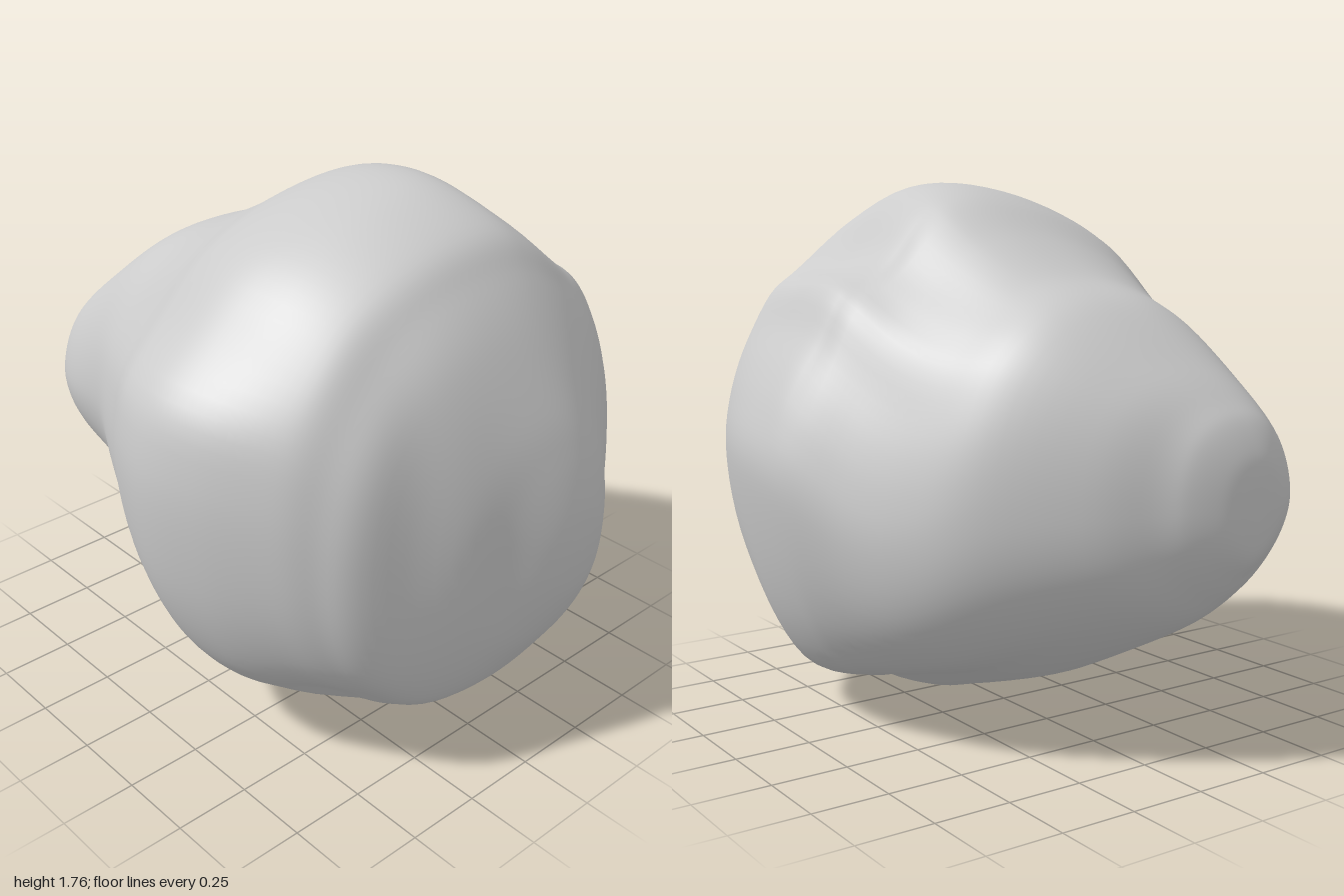
import * as THREE from 'three';

// Outline of the boulder's thickest part seen from the front, clockwise from the top
const OUTLINE = [
  [0.05, 1.76], [0.2, 1.74], [0.3, 1.67], [0.4, 1.56], [0.5, 1.49], [0.6, 1.43], [0.67, 1.3],
  [0.75, 1.18], [0.81, 1.06], [0.85, 0.92], [0.84, 0.76], [0.79, 0.52], [0.72, 0.32],
  [0.62, 0.17], [0.5, 0.115], [0.38, 0.1], [0.25, 0.04], [0.1, 0], [-0.08, 0.03], [-0.3, 0.09],
  [-0.5, 0.18], [-0.65, 0.3], [-0.75, 0.45], [-0.82, 0.65], [-0.855, 0.9], [-0.85, 1.1],
  [-0.8, 1.27], [-0.65, 1.42], [-0.5, 1.57], [-0.35, 1.66], [-0.15, 1.73],
];

// Stations from back to front: z, left x, right x, bottom y, top y
const STATIONS = [
  [-1, -0.2, -0.2, 0.82, 0.82],
  [-0.997, -0.26, -0.14, 0.73, 0.91],
  [-0.985, -0.32, -0.07, 0.66, 0.98],
  [-0.95, -0.38, 0.02, 0.6, 1.06],
  [-0.9, -0.42, 0.1, 0.53, 1.12],
  [-0.8, -0.46, 0.27, 0.43, 1.22],
  [-0.6, -0.51, 0.5, 0.31, 1.39],
  [-0.4, -0.59, 0.64, 0.21, 1.48],
  [-0.2, -0.69, 0.75, 0.14, 1.59],
  [0, -0.8, 0.84, 0.08, 1.71],
  [0.2, -0.855, 0.845, 0.02, 1.76],
  [0.4, -0.82, 0.8, 0.01, 1.75],
  [0.6, -0.72, 0.74, 0.1, 1.67],
  [0.7, -0.64, 0.66, 0.14, 1.56],
  [0.8, -0.53, 0.54, 0.21, 1.41],
  [0.9, -0.25, 0.4, 0.36, 1.2],
  [0.95, -0.08, 0.34, 0.46, 1.05],
  [0.985, 0.05, 0.28, 0.57, 0.9],
  [0.997, 0.12, 0.23, 0.66, 0.8],
  [1, 0.18, 0.18, 0.73, 0.73],
];

// Soft dents (negative) and swells (positive): centre, spread, depth
const DENTS = [
  [-0.38, 1.05, 0.75, 0.12, 0.4, 0.3, -0.02],
  [-0.1, 0.6, 0.92, 0.11, 0.3, 0.2, -0.02],
  [0.18, 0.9, 0.92, 0.2, 0.3, 0.2, 0.015],
  [-0.5, 0.25, 0.6, 0.14, 0.12, 0.25, -0.03],
  [0.45, 1.4, 0.35, 0.1, 0.2, 0.3, -0.025],
  [-0.55, 0.75, -0.6, 0.14, 0.25, 0.18, -0.02],
];

const AROUND = 120;
const ALONG = 120;
const CENTRE = new THREE.Vector3(0, 0.87, 0);
const { smoothstep, lerp } = THREE.MathUtils;

function applyDents(p) {
  const out = p.clone().sub(CENTRE).normalize();
  let push = 0;
  for (const [x, y, z, sx, sy, sz, depth] of DENTS) {
    const d = ((p.x - x) / sx) ** 2 + ((p.y - y) / sy) ** 2 + ((p.z - z) / sz) ** 2;
    push += depth * Math.exp(-d);
  }
  return p.addScaledVector(out, push);
}

// Section point at depth z: the craggy outline, easing into plain rounded ends
function sectionPoint(o, z) {
  const a = Math.atan2(o.y, o.x);
  const c = Math.cos(a), s = Math.sin(a);
  // The back end is fuller at its upper left and chamfered below
  const n = z > 0 ? 2.2 : 2 + 0.3 * s + 0.2 * c;
  const r = (Math.abs(c) ** n + Math.abs(s) ** n) ** (-1 / n);
  const blend = z > 0 ? smoothstep(z, 0.3, 0.85) : smoothstep(-z, -0.15, 0.75);
  const x = lerp(o.x, c * r, blend);
  const y = lerp(o.y, s * r, blend);
  // The flank bulges low behind the middle
  const sag = 0.25 * Math.exp(-(((z + 0.35) / 0.3) ** 2));
  return [x, y - sag * Math.max(0, x) * Math.max(0, 1 - y * y)];
}

function boulderGeometry() {
  const outline = new THREE.CatmullRomCurve3(
    OUTLINE.map(([x, y]) => new THREE.Vector3(x / 0.855, y / 0.88 - 1, 0)), true, 'catmullrom');
  const widths = new THREE.CatmullRomCurve3(
    STATIONS.map(([z, l, r]) => new THREE.Vector3(l, r, z)), false, 'catmullrom');
  const heights = new THREE.CatmullRomCurve3(
    STATIONS.map(([z, , , b, t]) => new THREE.Vector3(b, t, z)), false, 'catmullrom');

  const pos = [];
  const index = [];
  const addPoint = (x, y, z) => pos.push(...applyDents(new THREE.Vector3(x, y, z)).toArray());

  // Rings fitted to each station
  for (let i = 1; i < ALONG; i++) {
    const w = widths.getPoint(i / ALONG);
    const h = heights.getPoint(i / ALONG);
    for (let j = 0; j < AROUND; j++) {
      const [x, y] = sectionPoint(outline.getPoint(j / AROUND), w.z);
      addPoint(
        (w.x + w.y) / 2 + (x * (w.y - w.x)) / 2,
        (h.x + h.y) / 2 + (y * (h.y - h.x)) / 2,
        w.z);
    }
  }
  // Closing points at the back tip and the front
  const rings = ALONG - 1;
  const back = rings * AROUND;
  for (const [z, x, , y] of [STATIONS[0], STATIONS[STATIONS.length - 1]]) addPoint(x, y, z);

  const last = (rings - 1) * AROUND;
  for (let j = 0; j < AROUND; j++) {
    const k = (j + 1) % AROUND;
    for (let i = 0; i < rings - 1; i++) {
      const a = i * AROUND + j, b = i * AROUND + k;
      index.push(a, a + AROUND, b, b, a + AROUND, b + AROUND);
    }
    index.push(back, j, k, last + j, back + 1, last + k);
  }
  const geometry = new THREE.BufferGeometry();
  geometry.setAttribute('position', new THREE.Float32BufferAttribute(pos, 3));
  geometry.setIndex(index);
  geometry.computeVertexNormals();
  return geometry;
}

export function createModel() {
  const group = new THREE.Group();
  group.name = 'rock';
  const boulder = new THREE.Mesh(
    boulderGeometry(), new THREE.MeshStandardMaterial({ color: 0xcccccc }));
  boulder.name = 'boulder';
  group.add(boulder);
  return group;
}
